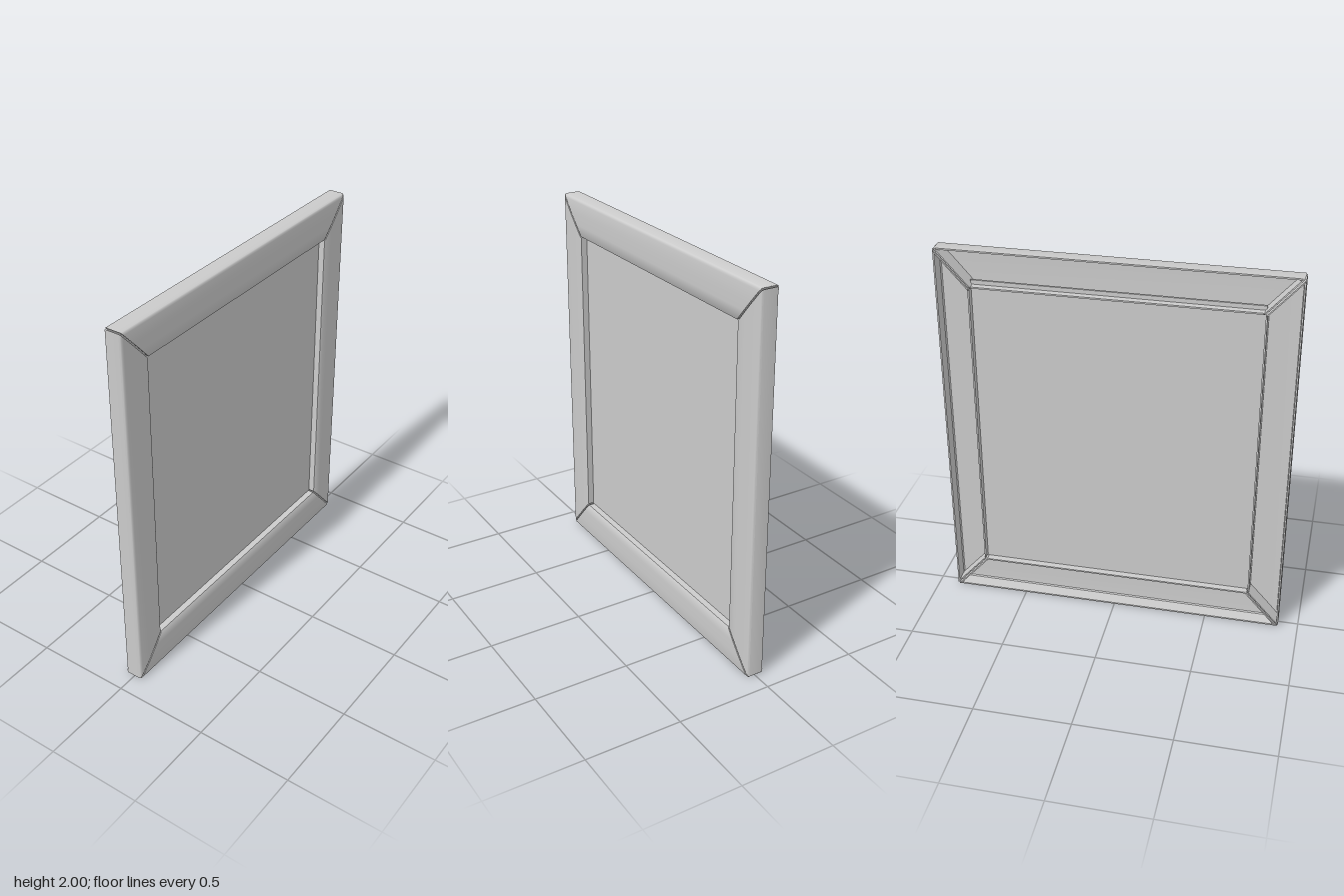
import * as THREE from 'three';
import { toCreasedNormals } from 'three/addons/utils/BufferGeometryUtils.js';

const HALF_Y = 1, HALF_Z = 0.895;      // outer half sizes
const WIDE_Y = 0.195, WIDE_Z = 0.173;  // face widths of the horizontal and upright rails
const GAP = 0.006, WALL = 0.008;

const outline = (pts) => new THREE.Shape(pts.map(([x, u]) => new THREE.Vector2(x, u)));

// hollow channel section: x is depth, u runs inward from the outer edge
const channel = (w) => outline([
  [-0.04, 0], [0.034, 0], [0.04, 0.002], [0.044, 0.007], [0.046, 0.016],
  [0.0475, w * 0.4], [0.0465, w * 0.7], [0.044, w - 0.004], [0.041, w],
  [-0.04, w], [-0.04, w - WALL], [0.037, w - WALL], [0.039, w * 0.4],
  [0.037, 0.014], [0.032, WALL], [-0.04, WALL],
]);

// solid end plate with rounded back corners
const plate = (w) => outline([
  [-0.04, 0.001], [0.033, 0.001], [0.043, 0.009], [0.045, w * 0.4], [0.04, w - 0.001],
  [-0.04, w - 0.001], [-0.0455, w - 0.004], [-0.0475, w - 0.01], [-0.0475, 0.01], [-0.0455, 0.004],
]);

// extrudes a section, then slides its ends onto mitre planes
function mitred(shape, start, end) {
  const geo = new THREE.ExtrudeGeometry(shape, { depth: 1, steps: 1, bevelEnabled: false });
  const p = geo.attributes.position;
  for (let i = 0; i < p.count; i++) {
    p.setZ(i, (p.getZ(i) > 0.5 ? end : start)(p.getY(i)));
  }
  return toCreasedNormals(geo, 0.6);
}

export function createModel() {
  const model = new THREE.Group();
  const mat = new THREE.MeshStandardMaterial({ color: 0xcccccc, side: THREE.DoubleSide });
  const add = (parent, geo, name) => {
    const mesh = new THREE.Mesh(geo, mat);
    mesh.name = name;
    parent.add(mesh);
    return mesh;
  };

  // four mitred rails, each turned a quarter about the depth axis
  ['bottomRail', 'backUpright', 'topRail', 'frontUpright'].forEach((name, k) => {
    const flat = k % 2 === 0;
    const w = flat ? WIDE_Y : WIDE_Z;
    const slope = flat ? WIDE_Z / WIDE_Y : WIDE_Y / WIDE_Z;
    const reach = (u) => (flat ? HALF_Z : HALF_Y) - slope * u - GAP;
    const rail = new THREE.Group();
    rail.name = name;
    const inner = new THREE.Group();
    inner.position.y = -(flat ? HALF_Y : HALF_Z);
    rail.add(inner);

    add(inner, mitred(channel(w), (u) => -reach(u), reach), name + 'Channel');
    // mitre end plates
    add(inner, mitred(plate(w), (u) => reach(u) - 0.008, (u) => reach(u) + 0.001), name + 'EndPlateA');
    add(inner, mitred(plate(w), (u) => -reach(u) - 0.001, (u) => -reach(u) + 0.008), name + 'EndPlateB');

    rail.rotation.x = k * Math.PI / 2;
    rail.position.y = HALF_Y;
    model.add(rail);
  });

  // recessed panel, its top edge running up through the top rail
  const low = WIDE_Y - 0.004, high = 2 - WIDE_Y + 0.03;
  const panel = add(model, new THREE.BoxGeometry(0.012, high - low, 2 * (HALF_Z - WIDE_Z) + 0.004), 'panel');
  panel.position.set(0.002, (low + high) / 2, 0);
  return model;
}
